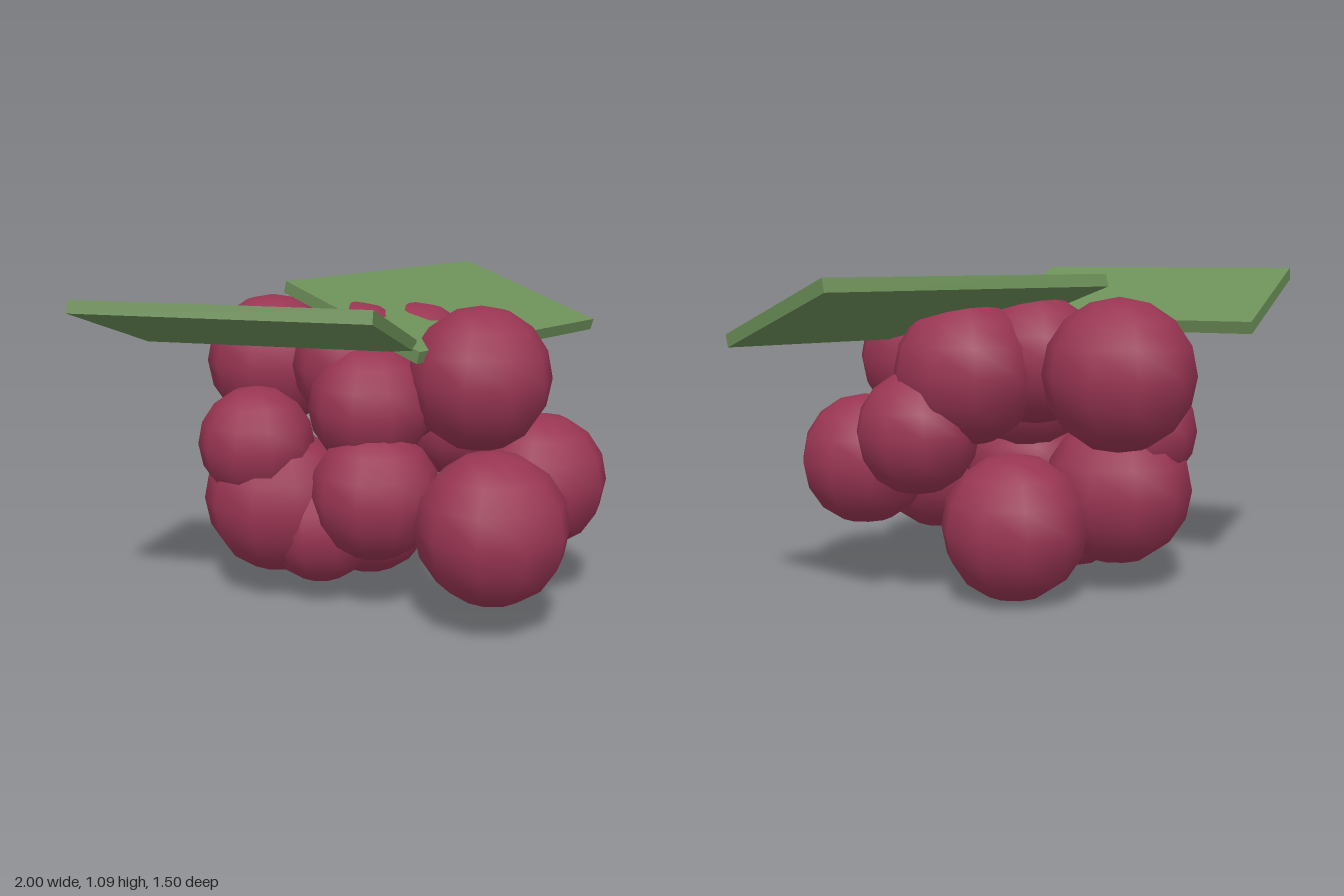
import * as THREE from 'three';

export function createModel() {
  const model = new THREE.Group();
  const berryRed = new THREE.MeshStandardMaterial({ color: 0x993553 });
  berryRed.name = 'berryRed';
  const leafGreen = new THREE.MeshStandardMaterial({ color: 0x6c8f58 });
  leafGreen.name = 'leafGreen';

  // Cluster of berries: x, y, z, radius
  const berries = new THREE.Group();
  berries.name = 'berryCluster';
  const unit = new THREE.SphereGeometry(1, 10, 8).rotateY(Math.PI / 2);
  [
    [0.325, 0.785, 0.222, 0.243],
    [0.25, 0.355, 0.5, 0.25],
    [0.55, 0.422, 0.235, 0.232],
    [0.4, 0.565, -0.152, 0.205],
    [0.09, 0.25, -0.21, 0.246],
    [-0.2, 0.77, -0.447, 0.243],
    [-0.36, 0.545, -0.1, 0.2],
    [-0.285, 0.345, -0.11, 0.255],
    [-0.02, 0.4, 0.155, 0.222],
    [-0.16, 0.266, -0.01, 0.202],
    [-0.005, 0.68, 0.06, 0.21],
    [0, 0.797, -0.1, 0.22],
    [0.239, 0.758, -0.147, 0.242],
  ].forEach(([x, y, z, r], i) => {
    const berry = new THREE.Mesh(unit, berryRed);
    berry.name = `berry${i + 1}`;
    berry.position.set(x, y, z);
    berry.scale.setScalar(r);
    berries.add(berry);
  });
  model.add(berries);

  // Flat slab leaves, turned about y and tilted along their short side
  const addLeaf = (name, length, width, position, yaw, tilt) => {
    const leaf = new THREE.Mesh(new THREE.BoxGeometry(length, 0.042, width), leafGreen);
    leaf.name = name;
    leaf.position.set(...position);
    leaf.rotation.set(tilt, yaw, 0, 'YXZ');
    model.add(leaf);
  };
  addLeaf('leftLeaf', 1.04, 0.63, [0.392, 0.968, -0.235], 0.5, 0.295);
  addLeaf('rightLeaf', 0.94, 0.59, [-0.449, 0.988, 0.184], -0.597, -0.29);

  return model;
}
